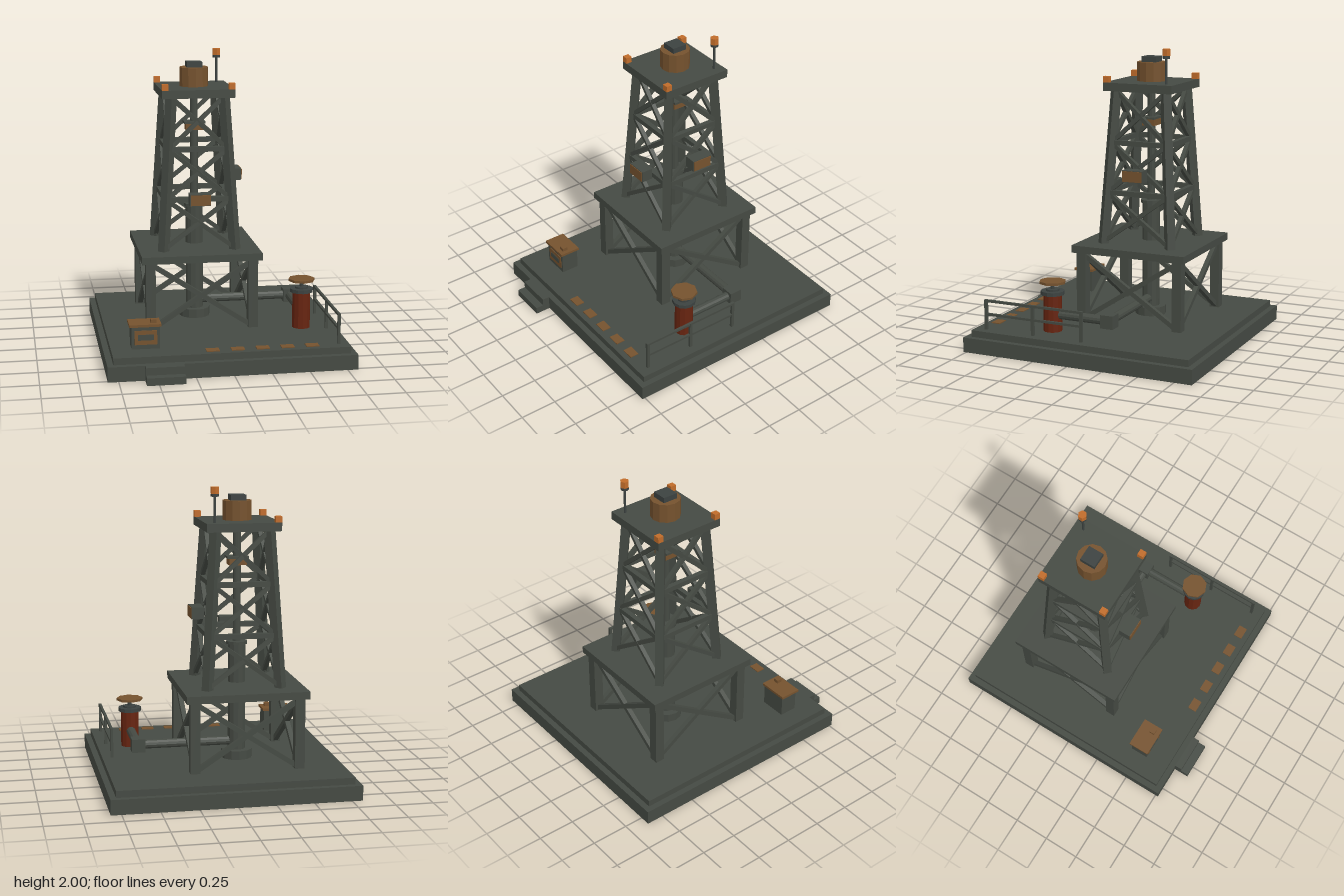
import * as THREE from 'three';

const paint = (name, color) => {
  const m = new THREE.MeshStandardMaterial({ color, flatShading: true });
  m.name = name;
  return m;
};

export function createModel() {
  const steel = paint('grey steel', 0x454a43);
  const dark = paint('dark steel', 0x3c4240);
  const rust = paint('ochre brown', 0x75522e);
  const amber = paint('amber lamp', 0xc06c2a);
  const red = paint('oxide red', 0x672410);

  const root = new THREE.Group();
  root.name = 'drillingRig';
  const CX = -0.125, CZ = -0.18; // tower axis

  const add = (name, geo, mat, x, y, z, parent = root) => {
    const m = new THREE.Mesh(geo, mat);
    m.name = name;
    m.position.set(x, y, z);
    parent.add(m);
    return m;
  };
  // Box given by its x, y and z ranges
  const block = (name, mat, x0, x1, y0, y1, z0, z1, parent) =>
    add(name, new THREE.BoxGeometry(x1 - x0, y1 - y0, z1 - z0), mat,
      (x0 + x1) / 2, (y0 + y1) / 2, (z0 + z1) / 2, parent);
  // Upright cylinder standing from y0 to y1
  const drum = (name, mat, r, y0, y1, x, z, sides = 12) =>
    add(name, new THREE.CylinderGeometry(r, r, y1 - y0, sides), mat, x, (y0 + y1) / 2, z);
  // Member between two points: square box, or cylinder when sides is given
  const member = (name, mat, a, b, size, sides, parent = root) => {
    const p = new THREE.Vector3(...a), q = new THREE.Vector3(...b);
    const len = p.distanceTo(q);
    const geo = sides ? new THREE.CylinderGeometry(size, size, len, sides)
      : new THREE.BoxGeometry(size, len, size);
    const mid = p.clone().add(q).multiplyScalar(0.5);
    const m = add(name, geo, mat, mid.x, mid.y, mid.z, parent);
    m.quaternion.setFromUnitVectors(new THREE.Vector3(0, 1, 0), q.sub(p).normalize());
    return m;
  };

  // Base slabs and entry steps
  block('baseSlab', steel, -0.82, 0.82, 0, 0.1, -0.87, 0.77);
  block('deck', steel, -0.78, 0.78, 0.1, 0.145, -0.83, 0.73);
  block('upperStep', steel, -0.58, -0.33, 0, 0.1, 0.77, 0.82);
  block('lowerStep', steel, -0.58, -0.33, 0, 0.05, 0.82, 0.875);

  // Deck markings
  for (let i = 0; i < 5; i++) {
    const x = -0.127 + i * 0.165;
    block('deckMarking', rust, x - 0.043, x + 0.043, 0.145, 0.151, 0.63, 0.692);
  }

  // Four-sided tower frame, centred on the tower axis
  const tower = new THREE.Group();
  tower.name = 'tower';
  tower.position.set(CX, 0, CZ);
  root.add(tower);
  const corners = [[1, 1], [1, -1], [-1, -1], [-1, 1]];
  const mastOffset = y => 0.245 - (y - 0.67) * 0.065 / 1.04;
  const at = (c, y, r) => [c[0] * r, y, c[1] * r];

  corners.forEach((c, i) => {
    const d = corners[(i + 1) % 4];
    // Substructure legs and cross braces
    const [x, z] = [c[0] * 0.35, c[1] * 0.35];
    block('lowerLeg', steel, x - 0.033, x + 0.033, 0.145, 0.62, z - 0.033, z + 0.033, tower);
    member('lowerBrace', steel, at(c, 0.15, 0.35), at(d, 0.61, 0.35), 0.032, 0, tower);
    member('lowerBrace', steel, at(c, 0.61, 0.35), at(d, 0.15, 0.35), 0.032, 0, tower);

    // Tapering mast leg, set cornerwise
    member('mastLeg', steel, at(c, 0.66, mastOffset(0.66)), at(c, 1.72, mastOffset(1.72)), 0.04, 4, tower);

    // Three braced panels with girts between
    const levels = [0.68, 1.02, 1.36, 1.71];
    for (let k = 0; k < 3; k++) {
      const [lo, hi] = [levels[k], levels[k + 1]];
      const [ro, rh] = [mastOffset(lo), mastOffset(hi)];
      member('mastBrace', steel, at(c, lo, ro), at(d, hi, rh), 0.028, 0, tower);
      member('mastBrace', steel, at(c, hi, rh), at(d, lo, ro), 0.028, 0, tower);
      if (k) member('mastGirt', steel, at(c, lo, ro), at(d, lo, ro), 0.034, 0, tower);
    }
  });
  block('workPlatform', steel, -0.41, 0.41, 0.62, 0.67, -0.41, 0.41, tower);
  block('crownPlatform', steel, -0.248, 0.248, 1.71, 1.766, -0.248, 0.248, tower);

  // Crown drum, cap and corner lamps
  drum('crownDrum', rust, 0.099, 1.766, 1.895, CX, CZ);
  block('crownCap', dark, CX - 0.052, CX + 0.052, 1.895, 1.932, CZ - 0.052, CZ + 0.052);
  for (const [sx, sz] of [[-1, -1], [-1, 1], [1, 1]]) {
    const x = CX + sx * 0.227, z = CZ + sz * 0.227;
    block('cornerLamp', amber, x - 0.021, x + 0.021, 1.766, 1.807, z - 0.021, z + 0.021);
  }

  // Beacon
  drum('beaconPole', dark, 0.008, 1.766, 1.94, 0.06, -0.364, 8);
  drum('beaconCollar', dark, 0.027, 1.937, 1.955, 0.06, -0.364, 8);
  drum('beaconLamp', amber, 0.029, 1.955, 2, 0.06, -0.364, 6);

  // Drill string, guide tube and travelling block
  drum('wellFlange', steel, 0.106, 0.145, 0.205, CX, CZ);
  drum('guideTube', steel, 0.06, 0.205, 0.93, CX, CZ);
  drum('guideCollar', steel, 0.072, 0.93, 0.95, CX, CZ);
  drum('drillString', steel, 0.027, 0.95, 1.71, CX, CZ);
  block('travellingBlock', rust, CX - 0.06, CX + 0.06, 1.465, 1.51, CZ - 0.045, CZ + 0.045);
  block('travellingBlockTop', steel, CX - 0.073, CX + 0.073, 1.51, 1.525, CZ - 0.05, CZ + 0.05);

  // Control boxes on the mast, with coloured faces
  block('frontControlBox', steel, -0.198, -0.055, 0.99, 1.07, 0.06, 0.142);
  block('frontControlFace', rust, -0.194, -0.059, 0.994, 1.066, 0.142, 0.147);
  block('sideControlBox', steel, 0.11, 0.193, 1.115, 1.195, -0.25, -0.105);
  block('sideControlFace', rust, 0.193, 0.198, 1.119, 1.191, -0.246, -0.109);

  // Flow line and elbow
  member('flowPipe', steel, [CX, 0.26, CZ], [0.52, 0.26, CZ], 0.031, 12);
  block('pipeElbow', steel, 0.507, 0.597, 0.215, 0.305, -0.225, -0.135);
  member('valvePipe', steel, [0.552, 0.26, -0.15], [0.552, 0.26, 0.22], 0.031, 12);

  // Valve column with handwheel
  drum('valveBody', red, 0.062, 0.145, 0.395, 0.552, 0.235);
  drum('valveCollar', dark, 0.08, 0.395, 0.42, 0.552, 0.235);
  drum('valveNeck', dark, 0.045, 0.42, 0.432, 0.552, 0.235);
  drum('valveStem', dark, 0.014, 0.432, 0.472, 0.552, 0.235, 8);
  drum('valveWheel', rust, 0.09, 0.471, 0.487, 0.552, 0.235, 8);

  // Equipment cabinet
  block('cabinetBody', steel, -0.645, -0.46, 0.145, 0.295, 0.44, 0.565);
  block('cabinetRoof', rust, -0.66, -0.45, 0.295, 0.312, 0.43, 0.577);
  block('cabinetVent', rust, -0.516, -0.478, 0.312, 0.335, 0.508, 0.546);
  block('cabinetPanel', rust, -0.625, -0.478, 0.175, 0.27, 0.565, 0.57);
  block('cabinetWindow', steel, -0.604, -0.499, 0.205, 0.243, 0.57, 0.573);

  // Side railing
  for (const z of [0.65, 0.3, -0.055])
    block('railPost', steel, 0.705, 0.724, 0.145, 0.35, z - 0.01, z + 0.01);
  for (const y of [0.342, 0.25])
    block('rail', steel, 0.706, 0.723, y - 0.008, y + 0.008, -0.065, 0.66);

  return root;
}
